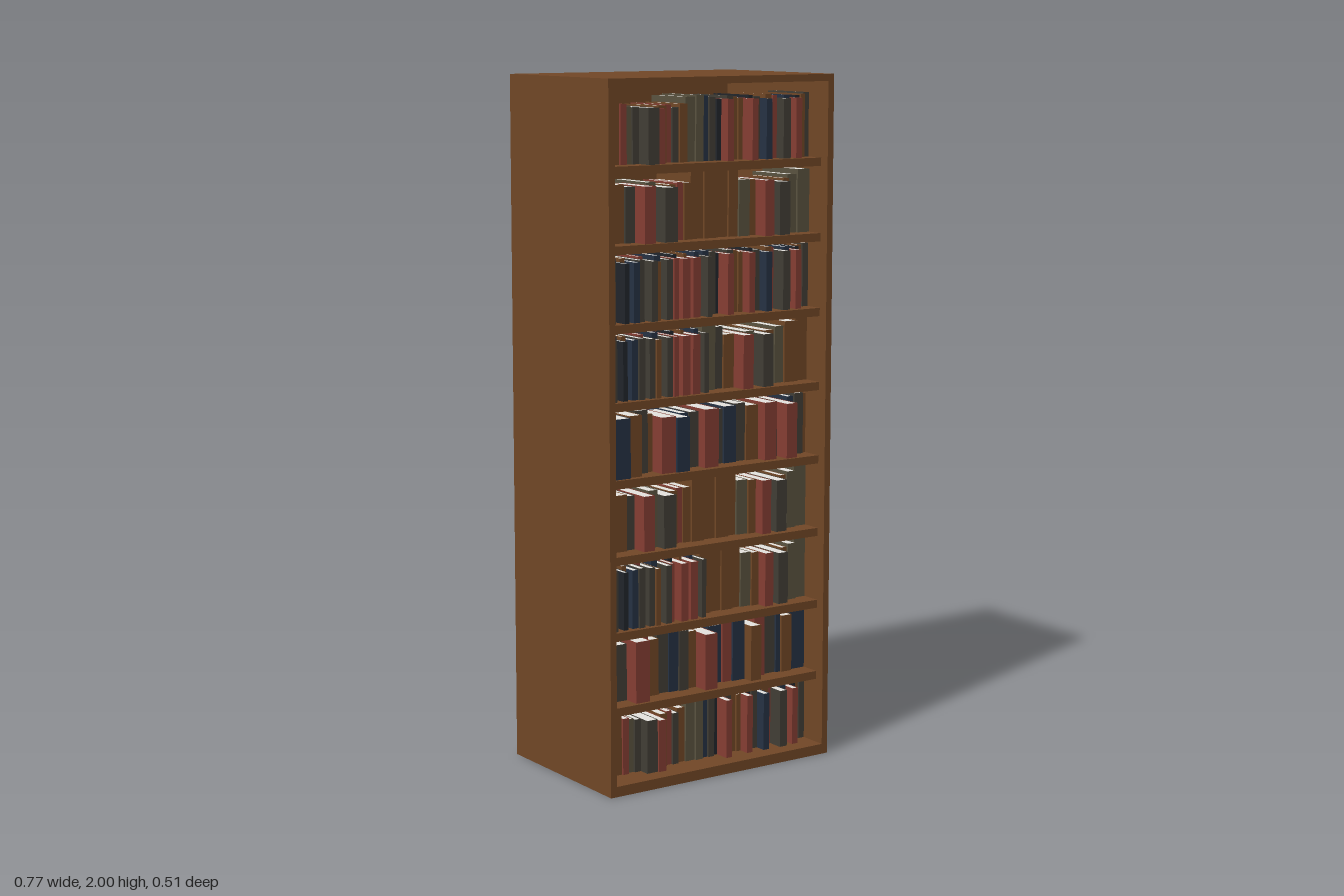
import * as THREE from 'three';
import { mergeGeometries } from 'three/addons/utils/BufferGeometryUtils.js';

const paint = (name, color) => {
  const m = new THREE.MeshStandardMaterial({ color });
  m.name = name;
  return m;
};
const WOOD = paint('wood', 0x734827);
const PAGES = paint('pages', 0xe8e6e2);
const COVERS = {
  b: paint('brown leather', 0x734827),
  o: paint('olive cloth', 0x5c5541),
  g: paint('grey cloth', 0x433f37),
  n: paint('navy cloth', 0x273345),
  r: paint('red cloth', 0x883f34),
  k: paint('dark cloth', 0x22262c),
};

const W = 0.766, D = 0.51, H = 2, T = 0.02;
const INNER = W / 2 - T;        // half width of the opening
const SHELF_FRONT = 0.225;
const BACK = -D / 2 + T;
const PITCH = 0.2165, FLOOR = 0.03, SHELF_T = 0.024;

// Box given by its min and max corners
function box(x0, x1, y0, y1, z0, z1) {
  return new THREE.BoxGeometry(x1 - x0, y1 - y0, z1 - z0)
    .translate((x0 + x1) / 2, (y0 + y1) / 2, (z0 + z1) / 2);
}

function add(parent, name, geometry, material) {
  const mesh = new THREE.Mesh(geometry, material);
  mesh.name = name;
  parent.add(mesh);
}

// Runs of books: cover colour (a capital stands further forward), relative
// thickness, height in thousandths
const RUNS = {
  plain: 'b7:188 b7:184 r4:165 o4:158 g4:155 G7:155 R5:152 b5:158 r4:160 g4:152 b5:162 o6:180 o5:184',
  mixed: 'o4:188 o6:180 b7:162 g6:155 R7:158 o6:165 G8:152 b5:155 r4:160 b5:160',
  tall: 'b8:190 b8:191 b8:190 b6:188',
  mixedEnd: 'o7:160 b5:158 R6:158 o4:152 G7:152 b4:158 o6:168 o8:182',
  mixedWide: 'o9:186 g6:178 b7:155 R7:155 o7:158 G7:152 b7:155 o6:165 b9:178 b8:184',
  thin: 'K3:170 G4:172 n4:178 K3:166 b3:176 N4:168 G4:172 r3:178 G4:168 B3:164 n4:178 G4:168 R3:170 k3:178 R5:168 b2:178 R5:168 n3:180 G3:170',
  thinB: 'n4:182 g4:178 k3:172 R4:172 g4:180 b4:176 b3:172 R4:172 k3:180 g4:176 N4:170 b4:182 r3:178 G5:170 n4:178 R4:170 k3:176 b3:180 g4:184',
  wide: 'K4:172 N10:170 B8:174 g8:180 b4:165 R9:160 N8:156 n5:158 g6:160 R9:168 g7:158 n8:165 g7:168 b8:160 R8:168 g5:162 R7:160 n4:172 g6:180 b3:176',
  wideB: 'n5:180 g5:178 g7:165 R9:178 r5:182 b6:165 g7:175 n6:180 g6:176 b6:168 R8:164 n9:172 r6:175 n8:178 B7:164 r7:176 g8:180 n3:178 b7:170 n10:186',
};
// Shelves from the bottom up
const ROWS = [
  ['plain', 'thinB'], ['wideB'], ['thin', 'tall', 'mixedEnd'],
  ['mixed', 'tall', 'mixedEnd'], ['wide'], ['thin', 'mixedWide'],
  ['thin', 'thinB'], ['mixed', 'tall', 'mixedEnd'], ['plain', 'thinB'],
];

// One book: spine, two boards and a slightly lower block of pages
function addBook(parts, colour, x0, x1, y, h, front) {
  const c = 0.0015, back = front - 0.17;
  parts[colour].push(
    box(x0, x1, y, y + h, front - c, front),
    box(x0, x0 + c, y, y + h, back, front - c),
    box(x1 - c, x1, y, y + h, back, front - c));
  parts.pages.push(box(x0 + c, x1 - c, y + 0.003, y + h - 0.001, back + 0.004, front - c));
}

function bookRow(runs, y, row) {
  const group = new THREE.Group();
  group.name = 'bookRow' + (row + 1);
  const parts = { pages: [] };
  for (const key of Object.keys(COVERS)) parts[key] = [];
  const books = runs.flatMap(run => RUNS[run].split(' ')).map(s => {
    const [size, height] = s.slice(1).split(':').map(Number);
    return { code: s[0], size, height: height / 1000 };
  });
  const unit = 2 * INNER / books.reduce((sum, b) => sum + b.size, 0);
  let x = -INNER;
  books.forEach(({ code, size, height }, i) => {
    const colour = code.toLowerCase();
    const front = (code === colour ? 0.168 : 0.209) + ((i * 7 + row * 3) % 5 - 2) * 0.003;
    addBook(parts, colour, x + 0.0004, x + size * unit - 0.0004, y, height, front);
    x += size * unit;
  });
  for (const [key, list] of Object.entries(parts)) {
    if (!list.length) continue;
    const material = key === 'pages' ? PAGES : COVERS[key];
    add(group, key === 'pages' ? 'bookPages' : material.name + ' covers', mergeGeometries(list), material);
  }
  return group;
}

export function createModel() {
  const model = new THREE.Group();
  model.name = 'bookcase';

  // Carcass
  const x = W / 2, z = D / 2;
  add(model, 'rightSide', box(-x, -INNER, 0, H, -z, z), WOOD);
  add(model, 'leftSide', box(INNER, x, 0, H, -z, z), WOOD);
  add(model, 'topPanel', box(-INNER, INNER, H - T, H, -z, z), WOOD);
  add(model, 'basePanel', box(-INNER, INNER, 0, FLOOR, -z, z), WOOD);
  add(model, 'backPanel', box(-INNER, INNER, FLOOR, H - T, -z, BACK), WOOD);

  // Shelves and their books
  ROWS.forEach((runs, i) => {
    const y = FLOOR + i * PITCH;
    if (i) add(model, 'shelf' + i, box(-INNER, INNER, y - SHELF_T, y, BACK, SHELF_FRONT), WOOD);
    model.add(bookRow(runs, y, i));
  });
  return model;
}
